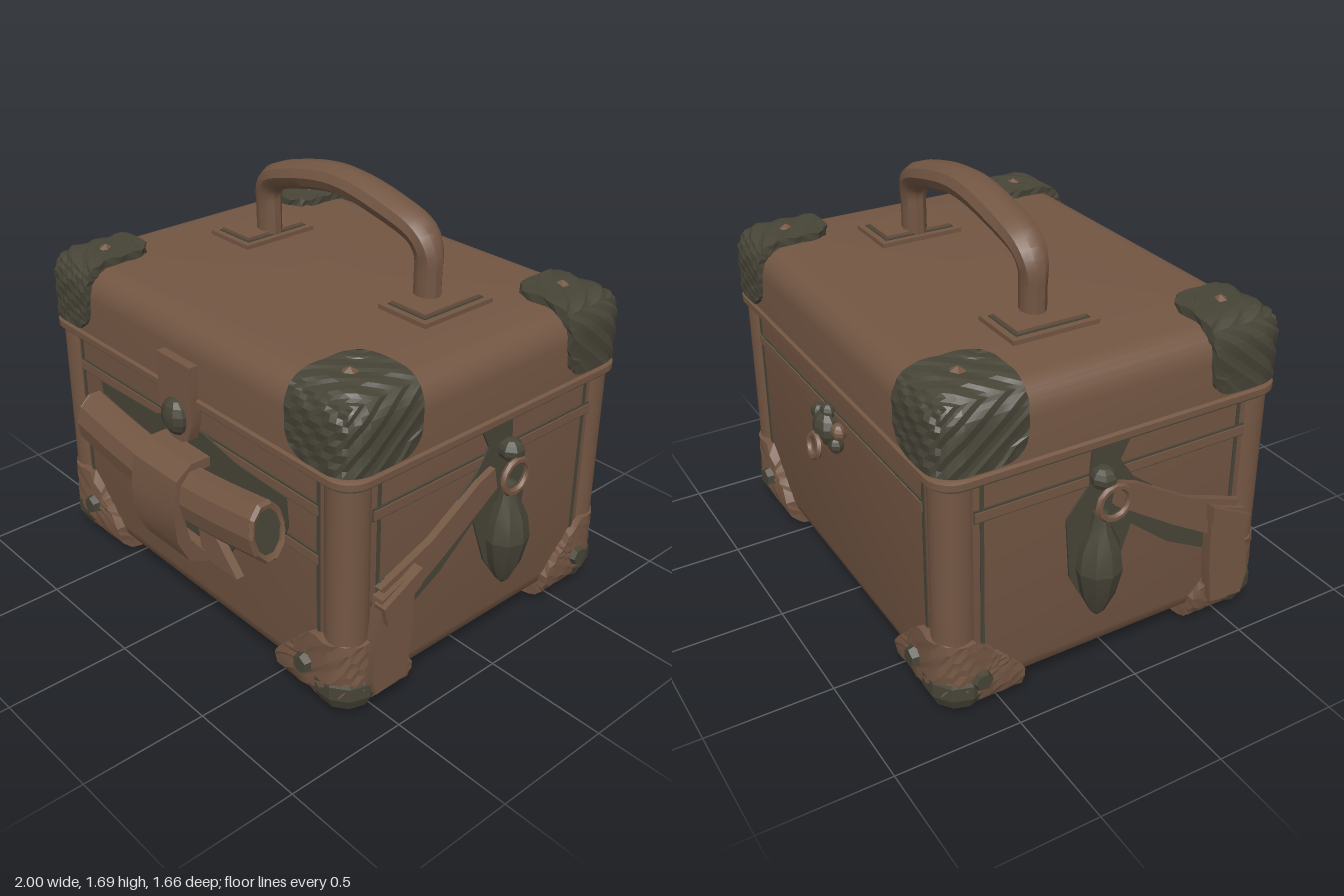
import * as THREE from 'three';
import { toCreasedNormals } from 'three/addons/utils/BufferGeometryUtils.js';

const ZC = -0.04; // mid-depth of the case
const ONE = [[1, 1]], SIDES = [[1, 1], [-1, 1]], ENDS = [[1, 1], [1, -1]];
const FOUR = [[1, 1], [-1, 1], [1, -1], [-1, -1]];

// Mirror a geometry across x = 0 and/or z = ZC, keeping faces outward
function mirrored(geo, sx, sz) {
  const g = geo.index ? geo.toNonIndexed() : geo.clone();
  const p = g.attributes.position;
  for (let i = 0; i < p.count; i++) p.setXYZ(i, p.getX(i) * sx, p.getY(i), ZC + (p.getZ(i) - ZC) * sz);
  if (sx * sz < 0) {
    for (let i = 0; i < p.count; i += 3) {
      const a = [p.getX(i), p.getY(i), p.getZ(i)];
      p.setXYZ(i, p.getX(i + 1), p.getY(i + 1), p.getZ(i + 1));
      p.setXYZ(i + 1, ...a);
    }
  }
  return g;
}

// Loft of rounded rectangles, rows are [y, half width, half depth, corner radius]
function loft(rows, seg = 6) {
  const pos = [], idx = [], n = 4 * (seg + 1);
  for (const [y, hx, hz, r] of rows) {
    for (let c = 0; c < 4; c++) {
      const sx = c === 0 || c === 3 ? 1 : -1, sz = c < 2 ? 1 : -1;
      for (let k = 0; k <= seg; k++) {
        const a = (c + k / seg) * Math.PI / 2;
        pos.push(sx * (hx - r) + r * Math.cos(a), y, ZC + sz * (hz - r) + r * Math.sin(a));
      }
    }
  }
  const last = (rows.length - 1) * n, b = rows.length * n;
  pos.push(0, rows[0][0], ZC, 0, rows[rows.length - 1][0], ZC);
  for (let i = 0; i < n; i++) {
    const j = (i + 1) % n;
    for (let s = 0; s < last; s += n) idx.push(s + i, s + n + i, s + j, s + j, s + n + i, s + n + j);
    idx.push(b, i, j, b + 1, last + j, last + i);
  }
  const g = new THREE.BufferGeometry();
  g.setAttribute('position', new THREE.Float32BufferAttribute(pos, 3));
  g.setIndex(idx);
  return g;
}

// Corner cover: box from inner to outer corner, rounded outside, tongues rounded or cut inside
function cornerCover(inner, outer, rOut, rIn, cut, wobble) {
  const g = new THREE.BoxGeometry(1, 1, 1, 10, 10, 10), p = g.attributes.position;
  const size = outer.map((o, i) => Math.abs(o - inner[i])), dir = outer.map((o, i) => Math.sign(o - inner[i]));
  const soften = (d) => {
    const m = Math.max(...d), len = cut ? d[0] + d[1] + d[2] : Math.hypot(...d);
    return len > 0 ? m / len : 1;
  };
  for (let i = 0; i < p.count; i++) {
    const q = [p.getX(i), p.getY(i), p.getZ(i)].map((v, k) => (dir[k] * v + 0.5) * size[k]);
    const dO = q.map((v, k) => Math.max(0, v - size[k] + rOut)), dI = q.map((v) => Math.max(0, rIn - v));
    const mO = Math.max(...dO), sO = mO > 0 ? mO / Math.hypot(...dO) : 1, sI = soften(dI);
    const n = wobble * Math.sin(q[0] * 47 + q[1] * 71 + q[2] * 59);
    const w = q.map((v, k) => inner[k] + dir[k] * (v - dO[k] * (1 - sO) + dI[k] * (1 - sI) + n));
    p.setXYZ(i, ...w);
  }
  return g;
}

// Flat plates: front ones from (x, y) points, side ones from (z, y) points
function frontPlate(pts, z, depth) {
  const s = new THREE.Shape(pts.map(([x, y]) => new THREE.Vector2(x, y)));
  return new THREE.ExtrudeGeometry(s, { depth, bevelEnabled: false }).translate(0, 0, z);
}
function sidePlate(pts, x, depth) {
  return frontPlate(pts.map(([z, y]) => [-z, y]), 0, depth).rotateY(Math.PI / 2).translate(x, 0, 0);
}
const box = (w, h, d, x, y, z) => new THREE.BoxGeometry(w, h, d).translate(x, y, z);
const ball = (sx, sy, sz, x, y, z, n = 10) => new THREE.SphereGeometry(1, n, 7).scale(sx, sy, sz).translate(x, y, z);

export function createModel() {
  const model = new THREE.Group();
  const leather = new THREE.MeshStandardMaterial({ color: 0x735643 });
  leather.name = 'brown leather';
  const dark = new THREE.MeshStandardMaterial({ color: 0x474437 });
  dark.name = 'dark olive metal';
  const add = (name, geo, mat, copies = ONE, crease = 0.6) => {
    for (const [sx, sz] of copies) {
      const m = new THREE.Mesh(toCreasedNormals(mirrored(geo, sx, sz), crease), mat);
      m.name = name;
      model.add(m);
    }
  };

  // Case body, corner posts and lid
  add('body', loft([[0.05, 0.78, 0.59, 0.05], [0.065, 0.82, 0.63, 0.06], [0.1, 0.855, 0.665, 0.07],
    [0.15, 0.87, 0.68, 0.08], [1.0, 0.87, 0.68, 0.08]]), leather);
  add('cornerPost', new THREE.CylinderGeometry(0.08, 0.08, 0.86, 20).translate(0.805, 0.56, 0.58), leather, FOUR);
  add('lidGap', loft([[0.968, 0.892, 0.702, 0.09], [0.985, 0.892, 0.702, 0.09]]), dark);
  add('lidLip', loft([[0.98, 0.895, 0.705, 0.1], [0.985, 0.908, 0.718, 0.1], [1.01, 0.908, 0.718, 0.1],
    [1.018, 0.895, 0.705, 0.1]]), leather);
  const lidRows = [[1.0, 0.897, 0.707, 0.11], [1.17, 0.892, 0.702, 0.11]];
  for (let k = 1; k <= 6; k++) {
    const a = k * Math.PI / 12, inset = 0.11 * (1 - Math.cos(a));
    lidRows.push([1.17 + 0.115 * Math.sin(a), 0.892 - inset, 0.702 - inset, 0.12 - inset * 0.5]);
  }
  add('lid', loft(lidRows), leather);

  // Raised bands and dark seams on the panels
  add('frontSeam', box(1.46, 0.05, 0.01, 0, 0.84, 0.642), dark, ENDS);
  add('frontBand', box(1.46, 0.036, 0.02, 0, 0.84, 0.642), leather, ENDS);
  add('lowerSeam', box(1.46, 0.05, 0.01, 0, 0.64, 0.642), dark);
  add('lowerBand', box(1.46, 0.036, 0.02, 0, 0.64, 0.642), leather);
  add('sideSeam', box(0.01, 0.05, 1.14, 0.872, 0.84, ZC), dark, SIDES);
  add('sideBand', box(0.02, 0.036, 1.14, 0.872, 0.84, ZC), leather, SIDES);
  add('frontPostSeam', box(0.014, 0.68, 0.01, 0.728, 0.64, 0.64), dark, FOUR);
  add('sidePostSeam', box(0.01, 0.68, 0.014, 0.87, 0.64, 0.5), dark, FOUR);

  // Upper corner guards with studs
  add('upperCorner', cornerCover([0.6, 1.03, 0.34], [0.908, 1.315, 0.682], 0.115, 0.1, false, 0.004), dark, FOUR, 0.2);
  add('cornerStud', new THREE.ConeGeometry(0.035, 0.02, 5).translate(0.72, 1.32, 0.5), leather, FOUR, 0.1);

  // Lower corner boots, feet and bolts
  add('lowerBoot', cornerCover([0.52, 0.335, 0.34], [0.9, 0.01, 0.675], 0.12, 0.19, true, 0.003), leather, FOUR, 0.3);
  add('foot', ball(0.128, 0.126, 0.128, 0.782, 0.126, 0.557), dark, FOUR, 0.2);
  add('bootBolt', new THREE.CylinderGeometry(0.035, 0.045, 0.035, 6).rotateX(Math.PI / 2)
    .translate(0.69, 0.19, 0.685), dark, FOUR, 0.1);
  add('bootSideBolt', new THREE.CylinderGeometry(0.035, 0.045, 0.035, 6).rotateZ(-Math.PI / 2)
    .translate(0.905, 0.17, 0.52), dark, FOUR, 0.1);

  // Handle with stepped mounting plates
  const arch = new THREE.CatmullRomCurve3([[-0.455, 1.3], [-0.455, 1.4], [-0.455, 1.48], [-0.42, 1.54], [-0.25, 1.6],
    [0, 1.637], [0.25, 1.6], [0.42, 1.54], [0.455, 1.48], [0.455, 1.4], [0.455, 1.3]]
    .map(([x, y]) => new THREE.Vector3(x, y, 0)));
  const handle = new THREE.TubeGeometry(arch, 48, 0.058, 10);
  const hp = handle.attributes.position;
  for (let i = 0; i < hp.count; i++) {
    const t = THREE.MathUtils.smoothstep(hp.getY(i), 1.42, 1.62);
    hp.setXYZ(i, hp.getX(i) * (1 - 0.02 * t), hp.getY(i), hp.getZ(i) * (0.85 + 0.48 * t) - 0.13);
  }
  add('handle', handle, leather);
  add('handlePlate', box(0.24, 0.03, 0.355, 0.5, 1.288, -0.13), leather, SIDES);
  add('plateSeam', box(0.19, 0.01, 0.305, 0.5, 1.302, -0.13), dark, SIDES);
  add('plateTop', box(0.17, 0.04, 0.285, 0.5, 1.298, -0.13), leather, SIDES);

  // Front: dark patch, rolled bundle, strap and tails
  add('frontPatch', frontPlate([[-0.58, 0.82], [-0.2, 0.83], [-0.1, 0.87], [0.1, 0.87], [0.3, 0.83], [0.57, 0.82],
    [0.58, 0.7], [0.5, 0.52], [0.3, 0.5], [0.2, 0.35], [-0.1, 0.33], [-0.32, 0.38], [-0.2, 0.47], [-0.5, 0.55],
    [-0.55, 0.66]], 0.648, 0.008), dark);
  const rollCurve = new THREE.CatmullRomCurve3([[-0.54, 0.7], [-0.27, 0.66], [0, 0.64], [0.27, 0.66], [0.55, 0.7]]
    .map(([x, y]) => new THREE.Vector3(x, y, 0)));
  const place = (g) => g.scale(1, 1, 0.66).translate(0, 0, 0.725);
  add('bundleRoll', place(new THREE.TubeGeometry(rollCurve, 14, 0.12, 10)), leather, ONE, 0.3);
  for (const [t, s] of [[0, -1], [1, 1]]) {
    const at = rollCurve.getPointAt(t), tilt = Math.atan(0.15) * s;
    const end = (g) => place(g.rotateY(s * Math.PI / 2).rotateZ(tilt).translate(at.x, at.y, 0));
    add('rollOpening', end(new THREE.CircleGeometry(0.119, 10)), dark);
    add('rollRim', end(new THREE.TorusGeometry(0.105, 0.017, 5, 10)), leather, ONE, 0.3);
  }
  add('bundleStrap', sidePlate([[0.64, 0.79], [0.74, 0.79], [0.81, 0.74], [0.828, 0.62], [0.82, 0.48], [0.77, 0.38],
    [0.69, 0.34], [0.64, 0.35], [0.64, 0.39], [0.7, 0.39], [0.76, 0.47], [0.79, 0.6], [0.77, 0.7], [0.72, 0.75],
    [0.64, 0.75]], -0.135, 0.275), leather);
  add('strapTail', frontPlate([[0.1, 0.49], [0.2, 0.49], [0.33, 0.36], [0.12, 0.355]], 0.66, 0.035), leather, SIDES);

  // Lid clasp
  add('claspTab', frontPlate([[-0.1, 1.15], [0.1, 1.15], [0.1, 0.93], [0.07, 0.84], [0.03, 0.82], [-0.03, 0.82],
    [-0.07, 0.84], [-0.1, 0.93]], 0.655, 0.045), leather);
  add('claspStud', ball(0.072, 0.075, 0.045, 0, 0.92, 0.7, 9), dark, ONE, 0.3);

  // Both sides: dark patch, belt, buckle end, ring and hanging charm
  add('sidePatch', sidePlate([[0.01, 0.97], [-0.15, 0.97], [-0.16, 0.82], [-0.25, 0.71], [-0.23, 0.46], [-0.13, 0.27],
    [-0.04, 0.4], [0.03, 0.6], [0.2, 0.46], [0.37, 0.37], [0.54, 0.48], [0.5, 0.56], [0.33, 0.6], [0.2, 0.67],
    [0.03, 0.8], [-0.03, 0.89]], 0.876, 0.008), dark, SIDES);
  add('sideBelt', sidePlate([[-0.04, 0.81], [0.04, 0.78], [0.27, 0.64], [0.52, 0.55], [0.42, 0.42], [0.2, 0.55],
    [-0.06, 0.72]], 0.88, 0.03), leather, SIDES);
  add('beltEnd', sidePlate([[0.53, 0.52], [0.42, 0.56], [0.37, 0.52], [0.38, 0.3], [0.4, 0.13], [0.55, 0.12],
    [0.57, 0.2]], 0.88, 0.05), leather, SIDES);
  add('beltFold', sidePlate([[0.54, 0.5], [0.36, 0.59], [0.36, 0.52], [0.52, 0.42]], 0.9, 0.052), leather, SIDES);
  add('charmKnob', ball(0.055, 0.045, 0.05, 0.91, 0.86, -0.12, 7), dark, SIDES, 0.2);
  add('charmRing', new THREE.TorusGeometry(0.065, 0.014, 6, 12).rotateY(Math.PI / 2).translate(0.955, 0.775, -0.1),
    leather, SIDES);
  const charm = [[0, 0.27], [0.03, 0.3], [0.066, 0.38], [0.09, 0.49], [0.078, 0.58], [0.04, 0.66], [0.028, 0.72], [0, 0.73]];
  add('hangingCharm', new THREE.LatheGeometry(charm.map(([r, y]) => new THREE.Vector2(r, y)), 9)
    .rotateY(Math.PI / 2).translate(0.91, 0, -0.125), dark, SIDES, 0.3);

  // Back rosette with a small ring
  add('rosetteCore', ball(0.075, 0.07, 0.05, 0, 0.79, -0.755, 8), dark, ONE, 0.2);
  for (let i = 0; i < 5; i++) {
    const a = Math.PI / 2 + i * Math.PI * 2 / 5;
    add('rosettePetal', ball(0.04, 0.035, 0.03, 0.095 * Math.cos(a), 0.79 + 0.065 * Math.sin(a), -0.745, 6),
      i % 2 ? leather : dark, ONE, 0.2);
  }
  add('rosetteRing', new THREE.TorusGeometry(0.045, 0.014, 6, 10).rotateX(0.2).translate(0, 0.725, -0.808), leather);
  return model;
}
